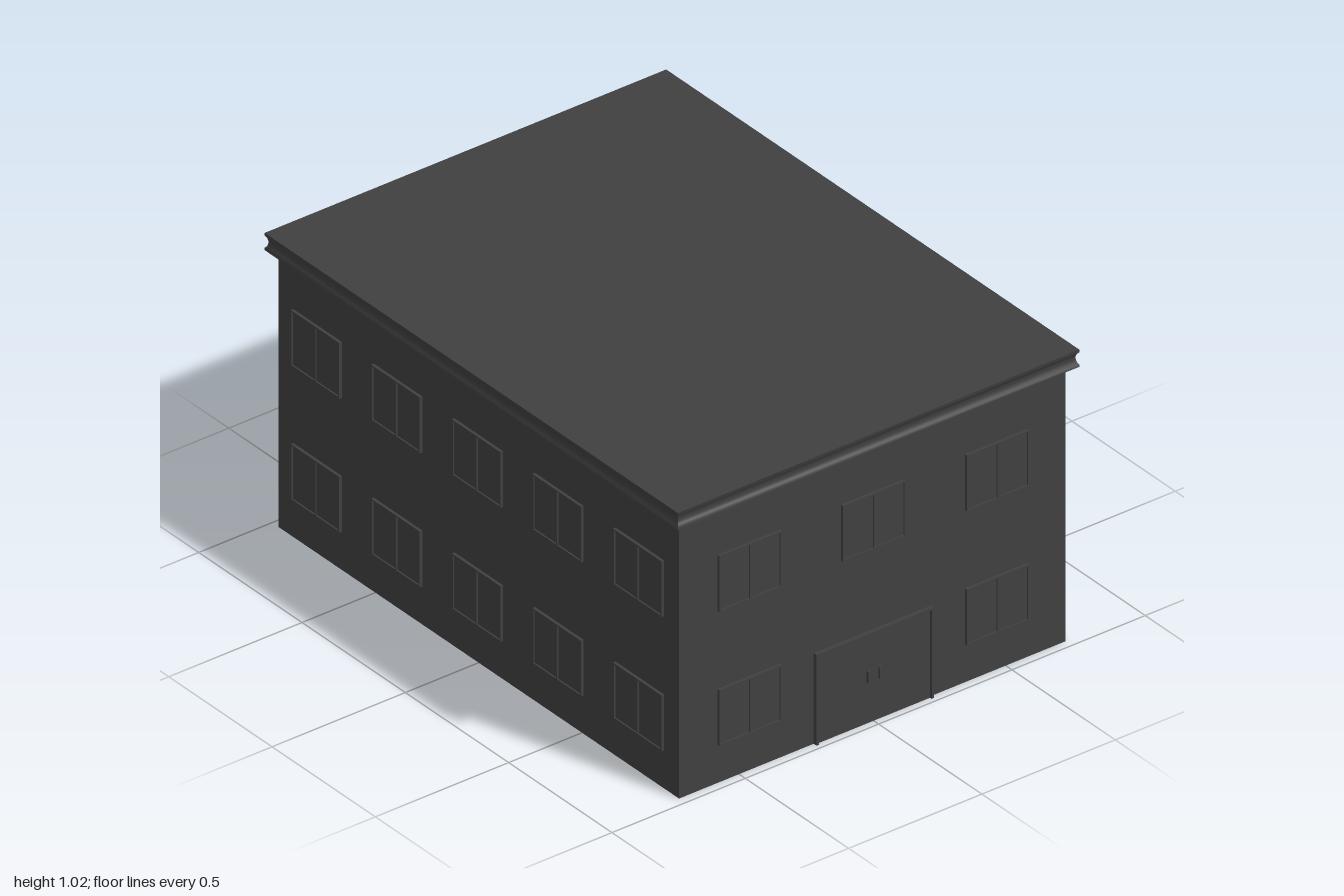
import * as THREE from 'three';
import { toCreasedNormals } from 'three/addons/utils/BufferGeometryUtils.js';

const HALF_X = 0.97, HALF_Z = 0.725, WALL_TOP = 0.962;

export function createModel() {
  const charcoal = new THREE.MeshStandardMaterial({ name: 'charcoal', color: 0x404040 });
  const building = new THREE.Group();
  building.name = 'building';

  // Box given by its outer size and centre
  function box(parent, name, w, h, d, x, y, z) {
    const mesh = new THREE.Mesh(new THREE.BoxGeometry(w, h, d), charcoal);
    mesh.name = name;
    mesh.position.set(x, y, z);
    parent.add(mesh);
    return mesh;
  }

  // Window in the local xy plane, facing +z, with a slim frame and mullion
  function makeWindow() {
    const g = new THREE.Group();
    g.name = 'window';
    const w = 0.235, h = 0.195, t = 0.005, d = 0.01;
    box(g, 'windowPane', w - t, h - t, 0.005, 0, 0, 0.0025);
    for (const s of [-1, 1]) {
      box(g, 'windowFrameSide', t, h, d, s * (w - t) / 2, 0, d / 2);
      box(g, 'windowFrameRail', w - 2 * t, t, d, 0, s * (h - t) / 2, d / 2);
    }
    box(g, 'windowMullion', t, h - 2 * t, d, 0, 0, d / 2);
    return g;
  }

  // Double door with frame and two pull handles, standing on y = 0
  function makeDoor() {
    const g = new THREE.Group();
    g.name = 'entrance';
    const w = 0.44, h = 0.316, t = 0.008, d = 0.014;
    box(g, 'doorPanel', w - 2 * t, h - t, 0.006, 0, (h - t) / 2, 0.003);
    for (const s of [-1, 1]) {
      box(g, 'doorJamb', t, h, d, s * (w - t) / 2, h / 2, d / 2);
      box(g, 'doorHandle', 0.009, 0.04, 0.01, s * 0.022, 0.163, 0.01);
    }
    box(g, 'doorLintel', w - 2 * t, t, d, 0, h - t / 2, d / 2);
    return g;
  }

  // Main block
  box(building, 'walls', HALF_X * 2, WALL_TOP, HALF_Z * 2, 0, WALL_TOP / 2, 0);

  // Flat roof slab with a hollow moulding round its edge
  const profile = [
    [0, 0.96], [1, 0.96], [1, 0.968], [0.994, 0.975], [0.991, 0.985],
    [0.991, 0.995], [0.994, 1.004], [1, 1.011], [1, 1.02], [0, 1.02],
  ].map(([r, y]) => new THREE.Vector2(r * Math.SQRT2, y));
  let roofGeo = new THREE.LatheGeometry(profile, 4, Math.PI / 4);
  roofGeo.scale(1, 1, 0.753);
  roofGeo = toCreasedNormals(roofGeo, 0.75);
  const roof = new THREE.Mesh(roofGeo, charcoal);
  roof.name = 'roof';
  building.add(roof);

  // Facades: long ones with five window columns, short ones with a central door
  const facades = [
    { name: 'frontFacade', turn: 0, out: HALF_Z, columns: [-0.78, -0.39, 0, 0.39, 0.78] },
    { name: 'leftFacade', turn: 1, out: HALF_X, columns: [-0.464, 0, 0.464], door: true },
    { name: 'backFacade', turn: 2, out: HALF_Z, columns: [-0.78, -0.39, 0, 0.39, 0.78] },
    { name: 'rightFacade', turn: 3, out: HALF_X, columns: [-0.464, 0, 0.464], door: true },
  ];
  for (const { name, turn, out, columns, door } of facades) {
    const facade = new THREE.Group();
    facade.name = name;
    facade.rotation.y = turn * Math.PI / 2;
    for (const x of columns) {
      for (const y of [0.23, 0.697]) {
        if (door && x === 0 && y < 0.5) continue;
        const win = makeWindow();
        win.position.set(x, y, out);
        facade.add(win);
      }
    }
    if (door) {
      const entrance = makeDoor();
      entrance.position.z = out;
      facade.add(entrance);
    }
    building.add(facade);
  }

  return building;
}
